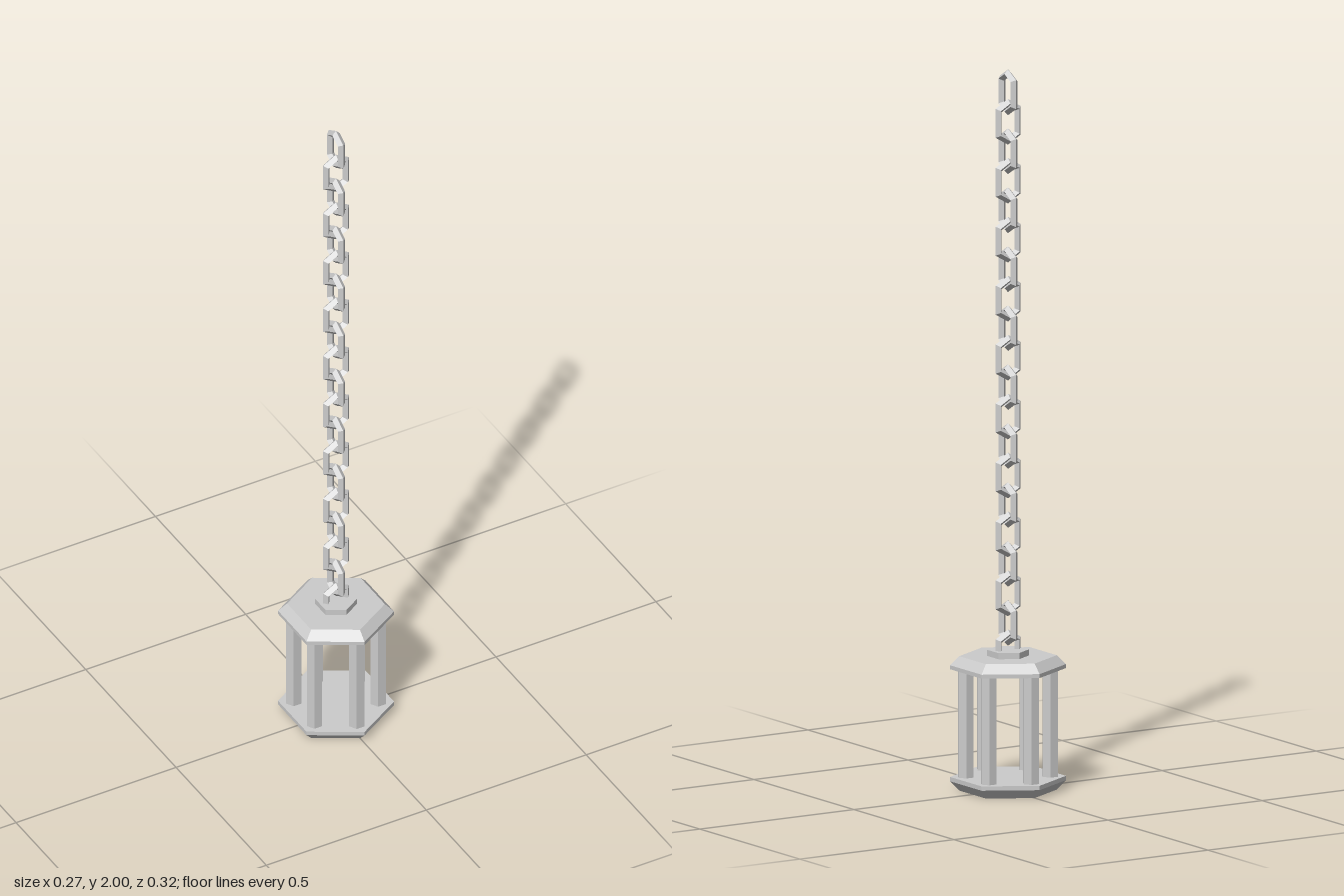
import * as THREE from 'three';

const material = new THREE.MeshStandardMaterial({ color: 0xcccccc, flatShading: true });

function addMesh(parent, name, geometry) {
  const flat = geometry.index ? geometry.toNonIndexed() : geometry;
  flat.computeVertexNormals();
  const mesh = new THREE.Mesh(flat, material);
  mesh.name = name;
  parent.add(mesh);
  return mesh;
}

// Solid six-sided plate from a [radius, y] profile, bottom to top; a corner points to +z
const hexPlate = (profile) =>
  new THREE.LatheGeometry(profile.map(([r, y]) => new THREE.Vector2(r, y)), 6);

// Six-sided ring with a diamond section, pulled apart vertically into a long link
function linkGeometry(lowest = -1) {
  const g = new THREE.TorusGeometry(0.035, 0.0115, 4, 6).rotateZ(Math.PI / 6);
  const p = g.attributes.position;
  for (let i = 0; i < p.count; i++) {
    const y = p.getY(i);
    p.setY(i, Math.max(y + Math.sign(y) * 0.017, lowest));
  }
  return g;
}

export function createModel() {
  const model = new THREE.Group();
  model.name = 'hangingLantern';

  // Lantern body: base, roof and the small mount for the chain
  addMesh(model, 'base', hexPlate([[0, 0], [0.133, 0], [0.158, 0.026], [0.158, 0.038], [0, 0.038]]));
  addMesh(model, 'roof', hexPlate([[0, 0.337], [0.158, 0.337], [0.158, 0.348], [0.133, 0.373], [0, 0.373]]));
  addMesh(model, 'chainMount', hexPlate([[0, 0.37], [0.057, 0.37], [0.057, 0.39], [0, 0.39]]));

  // Six posts, one near each corner
  for (let i = 0; i < 6; i++) {
    const a = (i * Math.PI) / 3;
    const geometry = new THREE.CylinderGeometry(0.024, 0.024, 0.31, 6).rotateY(Math.PI / 6);
    const post = addMesh(model, 'post', geometry);
    post.position.set(0.115 * Math.sin(a), 0.188, 0.115 * Math.cos(a));
  }

  // Chain: links alternate by a quarter turn; the lowest is sunk into the mount
  const chain = new THREE.Group();
  chain.name = 'chain';
  model.add(chain);
  const count = 20;
  for (let i = 0; i < count; i++) {
    const link = addMesh(chain, 'chainLink', linkGeometry(i === count - 1 ? -0.025 : -1));
    link.position.y = 1.9365 - i * 0.0818;
    link.rotation.y = i % 2 === 0 ? Math.PI / 2 : 0;
  }
  return model;
}
